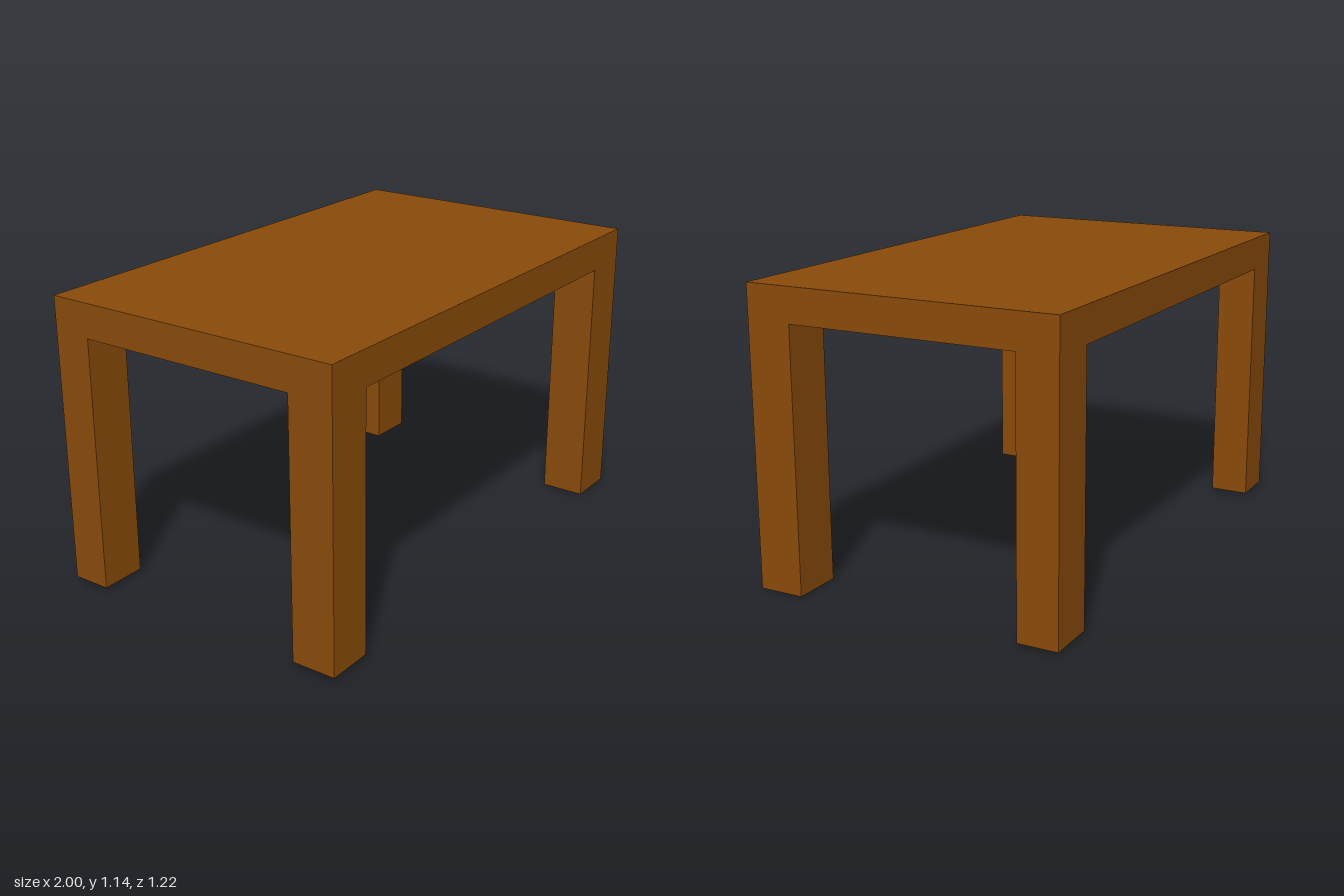
import * as THREE from 'three';

const TOP = 1.143, UNDER = 1.01, HALF_X = 1, HALF_Z = 0.612;

export function createModel() {
  const table = new THREE.Group();
  table.name = 'table';
  const wood = new THREE.MeshStandardMaterial({ color: 0x8a4b0a, flatShading: true });

  const addBox = (name, w, h, d, x, y, z) => {
    const mesh = new THREE.Mesh(new THREE.BoxGeometry(w, h, d), wood);
    mesh.name = name;
    mesh.position.set(x, y, z);
    table.add(mesh);
  };

  // Thick slab top
  addBox('tableTop', 2 * HALF_X, TOP - UNDER, 2 * HALF_Z, 0, (TOP + UNDER) / 2, 0);

  // Corner legs, flush with the slab edges and each cut slightly differently:
  // name, side in x, side in z, width, depth, foot height
  const legs = [
    ['frontLeftLeg', 1, 1, 0.197, 0.177, 0],
    ['frontRightLeg', -1, 1, 0.184, 0.176, 0.018],
    ['backLeftLeg', 1, -1, 0.195, 0.157, 0.01],
    ['backRightLeg', -1, -1, 0.184, 0.155, 0.015],
  ];
  for (const [name, sx, sz, w, d, foot] of legs) {
    addBox(name, w, UNDER - foot, d,
      sx * (HALF_X - w / 2), (UNDER + foot) / 2, sz * (HALF_Z - d / 2));
  }
  return table;
}
